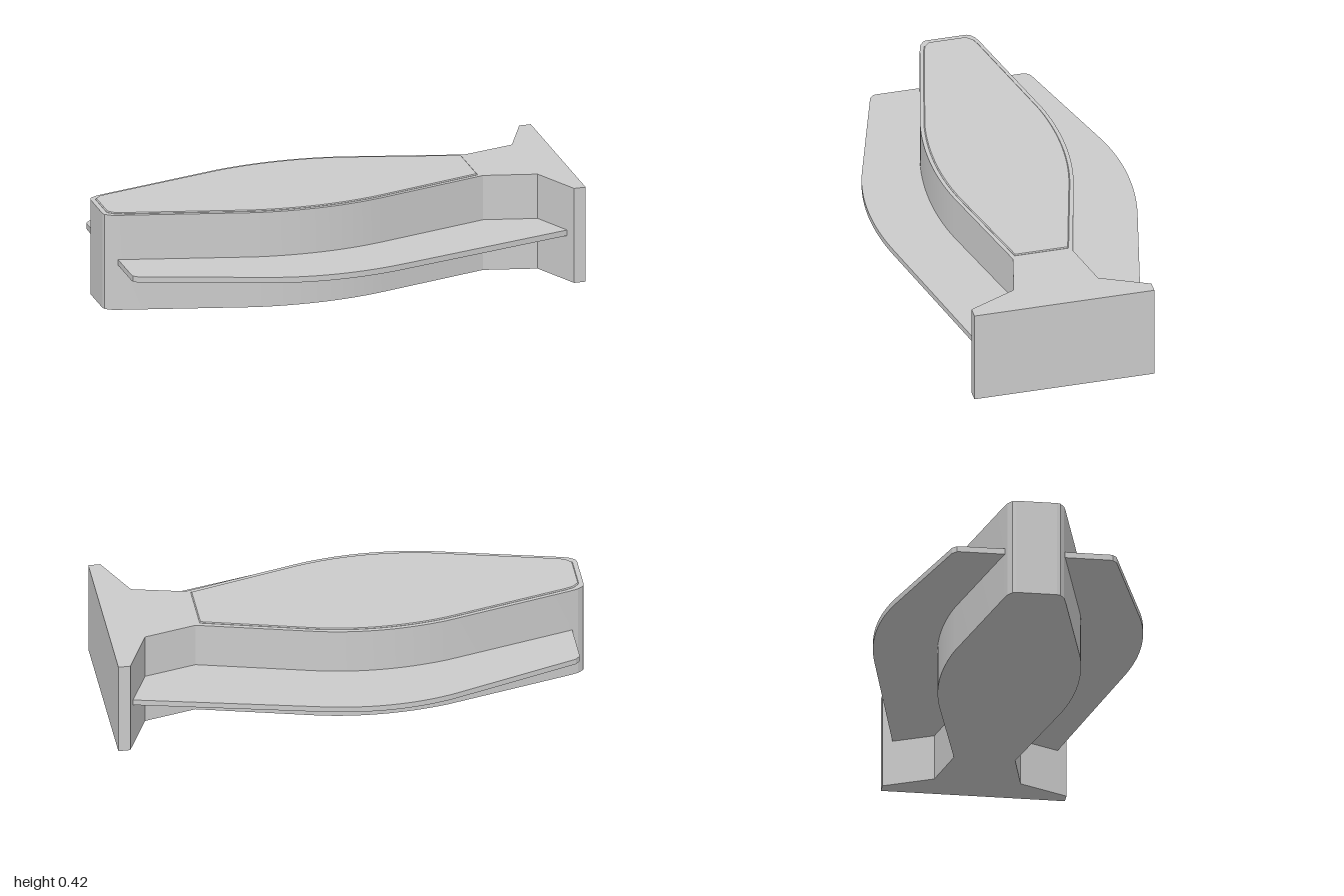
import * as THREE from 'three';
import { toCreasedNormals } from 'three/addons/utils/BufferGeometryUtils.js';

const material = new THREE.MeshStandardMaterial({ color: 0xcccccc });

// Half outline running from the -x end to the +x end, mirrored in z.
// An entry of six numbers is a cubic curve, two numbers a straight line.
function mirroredShape(half) {
  const path = new THREE.Path();
  path.moveTo(...half[0]);
  for (const p of half.slice(1)) {
    if (p.length === 6) path.bezierCurveTo(...p);
    else path.lineTo(...p);
  }
  const upper = path.getPoints(20);
  const lower = upper.map((p) => new THREE.Vector2(p.x, -p.y));
  return new THREE.Shape([...lower, ...upper.reverse()]);
}

// Upright prism of an outline between two heights
function slab(name, half, y0, y1, bevel = 0) {
  let geometry = new THREE.ExtrudeGeometry(mirroredShape(half), {
    depth: y1 - y0 - bevel,
    bevelEnabled: bevel > 0,
    bevelThickness: bevel,
    bevelSize: bevel,
    bevelOffset: -bevel,
    bevelSegments: 1,
  });
  geometry.rotateX(-Math.PI / 2).translate(0, y0, 0);
  geometry = toCreasedNormals(geometry, 0.3);
  const mesh = new THREE.Mesh(geometry, material);
  mesh.name = name;
  return mesh;
}

export function createModel() {
  const group = new THREE.Group();
  group.name = 'bracketBody';

  // Swelling body that narrows to a neck and flares into the end plate
  group.add(slab('body', [
    [-1, 0.085], [-0.995, 0.1], [-0.97, 0.118], [-0.93, 0.13],
    [-0.4, 0.262], [-0.22, 0.298, -0.02, 0.298, 0.165, 0.25],
    [0.635, 0.128], [0.855, 0.18], [0.95, 0.384], [1, 0.384],
  ], 0, 0.418));

  // Thin raised panel on top
  group.add(slab('topPanel', [
    [-0.98, 0.08], [-0.955, 0.105], [-0.92, 0.117],
    [-0.4, 0.246], [-0.22, 0.282, -0.02, 0.282, 0.165, 0.234],
    [0.615, 0.115],
  ], 0.416, 0.423, 0.004));

  // Flat side fins, made as one plate passing through the body
  group.add(slab('sideFins', [
    [-0.945, 0.31], [-0.943, 0.325], [-0.925, 0.343],
    [-0.4, 0.511], [-0.22, 0.566, -0.02, 0.566, 0.17, 0.522],
    [0.932, 0.345],
  ], 0.197, 0.222));

  return group;
}
